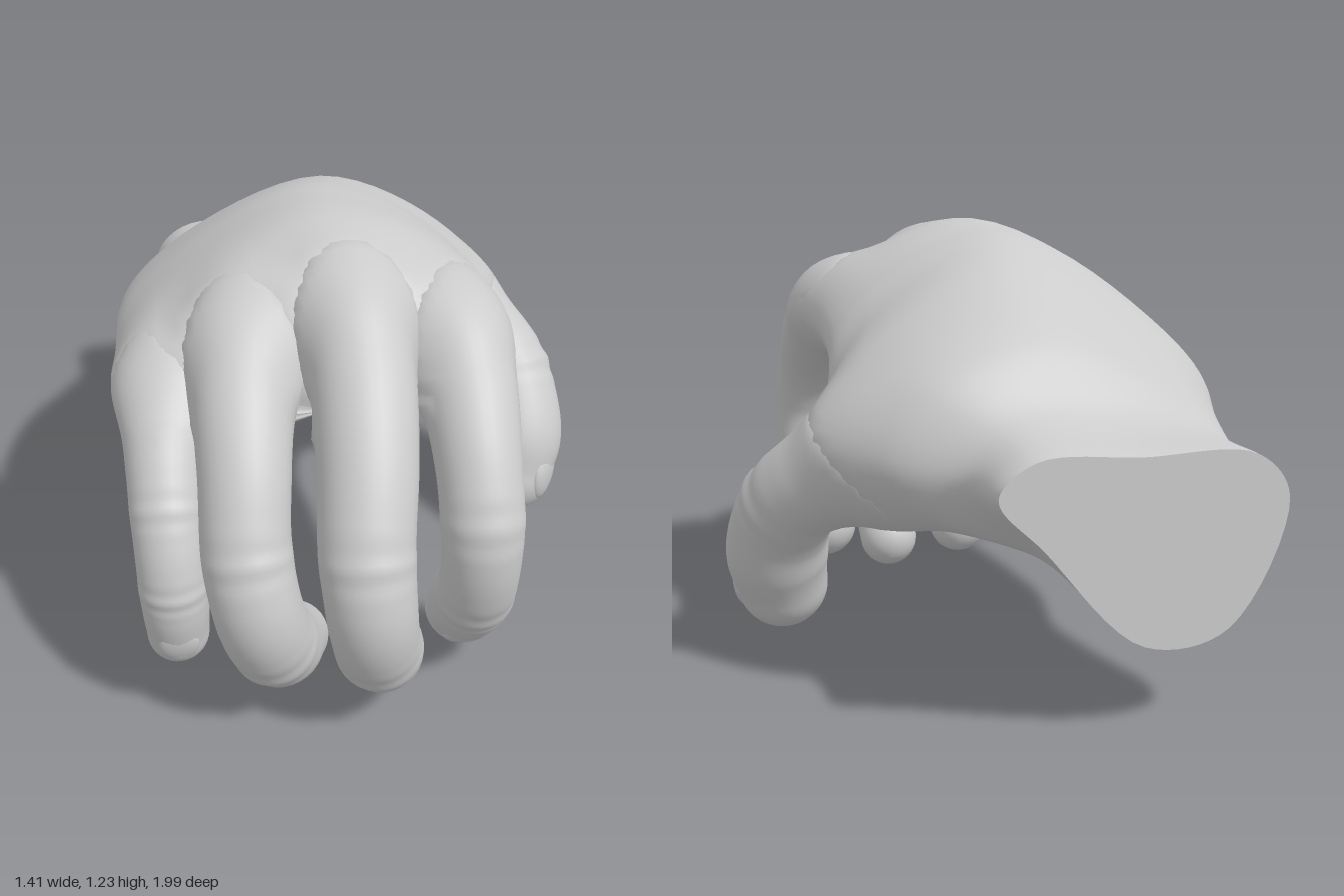
import * as THREE from 'three';

const V = (x, y, z) => new THREE.Vector3(x, y, z);
const material = new THREE.MeshStandardMaterial({ color: 0xcccccc });

// Skin over a list of closed rings (counter-clockwise about the travel direction)
function skin(rings) {
  const n = rings[0].length, index = [];
  for (let i = 0; i < rings.length - 1; i++) {
    for (let j = 0; j < n; j++) {
      const k = (j + 1) % n;
      const a = i * n + j, b = i * n + k, c = (i + 1) * n + k, d = (i + 1) * n + j;
      index.push(a, b, d, b, c, d);
    }
  }
  const g = new THREE.BufferGeometry().setFromPoints(rings.flat());
  g.setIndex(index);
  g.computeVertexNormals();
  return g;
}

// How far each vertex of one skin must swell to flow softly into another skin
function swelling(from, to) {
  const K = 0.1, REACH = 0.13 ** 2;
  const p = from.attributes.position.array, q = to.attributes.position.array, n = to.attributes.normal.array;
  return Float32Array.from({ length: p.length / 3 }, (_, v) => {
    const x = p[v * 3], y = p[v * 3 + 1], z = p[v * 3 + 2];
    let best = REACH, d = K;
    for (let i = 0; i < q.length; i += 3) {
      const dx = x - q[i], dy = y - q[i + 1], dz = z - q[i + 2], s = dx * dx + dy * dy + dz * dz;
      if (s < best) {
        best = s;
        d = Math.abs(dx * n[i] + dy * n[i + 1] + dz * n[i + 2]);
      }
    }
    return Math.max(0, K - d) ** 2 / (4 * K);
  });
}

function swell(geometry, amounts) {
  const p = geometry.attributes.position.array, n = geometry.attributes.normal.array;
  for (let i = 0; i < p.length; i++) p[i] += n[i] * amounts[Math.floor(i / 3)];
  geometry.computeVertexNormals();
}

function named(name, geometry) {
  const mesh = new THREE.Mesh(geometry, material);
  mesh.name = name;
  return mesh;
}

// A finger: rows of x, y, z, radius from root to tip
function makeFinger(name, rows, { joints, nailAngle = Math.PI / 2, nailAt = 0.96 }) {
  const path = new THREE.CatmullRomCurve3(rows.map(r => V(r[0], r[1], r[2])));
  const radii = new THREE.SplineCurve(rows.map((r, i) => new THREE.Vector2(i, r[3])));
  const frame = t => {
    const c = path.getPoint(t), f = path.getTangent(t);
    const side = V(1, 0, 0).addScaledVector(f, -f.x).normalize();
    return { c, f, side, up: f.clone().cross(side), r: radii.getPoint(t).y };
  };
  const N = 32, STEPS = 100, CAP = 10, rings = [];
  const ring = ({ c, side, up }, radiusAt) => Array.from({ length: N }, (_, j) => {
    const a = j / N * Math.PI * 2, r = radiusAt(a);
    return c.clone().addScaledVector(side, Math.cos(a) * r).addScaledVector(up, Math.sin(a) * r);
  });
  for (let i = 0; i <= STEPS; i++) {
    const t = i / STEPS, fr = frame(t);
    // Knuckle swelling and skin creases on the back of each joint
    rings.push(ring(fr, a => {
      let k = 1;
      for (const q of joints) {
        const d = (t - q) / 0.045;
        k += Math.exp(-d * d) * (0.02 + 0.028 * Math.cos(d * 5) * Math.max(0, Math.cos(a - nailAngle)));
      }
      return fr.r * k;
    }));
  }
  // Rounded fingertip
  const end = frame(1);
  for (let i = 1; i <= CAP; i++) {
    const a = i / CAP * Math.PI / 2;
    const c = end.c.clone().addScaledVector(end.f, Math.sin(a) * end.r);
    rings.push(ring({ ...end, c }, () => Math.max(0.0005, Math.cos(a) * end.r)));
  }
  const group = new THREE.Group();
  group.name = name;
  group.add(named(name + 'Skin', skin(rings)));

  // Nail: shallow shell set into the back of the tip
  const { c, f, side, up, r } = frame(nailAt);
  const out = side.multiplyScalar(Math.cos(nailAngle)).addScaledVector(up, Math.sin(nailAngle));
  const nail = named(name + 'Nail', new THREE.SphereGeometry(1, 24, 16));
  nail.quaternion.setFromRotationMatrix(new THREE.Matrix4().makeBasis(out.clone().cross(f), out, f));
  nail.scale.set(r * 0.64, r * 0.25, r * 0.72);
  nail.position.copy(c).addScaledVector(out, r * 0.77).addScaledVector(f, r * 0.05);
  group.add(nail);
  return group;
}

// Palm and wrist: z, xMin, xMax, side heights, three top heights, three bottom heights
const PALM = [
  [-0.99, -0.57, 0.23, 0.60, 0.67, 0.72, 0.74, 0.75, 0.27, 0.25, 0.53],
  [-0.80, -0.555, 0.24, 0.62, 0.66, 0.74, 0.80, 0.79, 0.40, 0.38, 0.50],
  [-0.65, -0.57, 0.40, 0.68, 0.68, 0.84, 0.97, 0.88, 0.47, 0.48, 0.51],
  [-0.40, -0.67, 0.51, 0.74, 0.69, 0.93, 1.13, 0.92, 0.50, 0.58, 0.50],
  [-0.20, -0.695, 0.42, 0.79, 0.76, 0.97, 1.20, 1.01, 0.54, 0.66, 0.61],
  [-0.08, -0.70, 0.38, 0.81, 0.87, 0.985, 1.22, 1.07, 0.59, 0.71, 0.71],
  [0.15, -0.70, 0.36, 0.84, 0.94, 1.0, 1.23, 1.11, 0.67, 0.79, 0.78],
  [0.35, -0.685, 0.35, 0.85, 0.94, 0.97, 1.14, 1.05, 0.71, 0.82, 0.82],
  [0.44, -0.64, 0.31, 0.82, 0.89, 0.89, 1.02, 0.95, 0.74, 0.84, 0.84],
  [0.49, -0.57, 0.25, 0.80, 0.87, 0.83, 0.93, 0.89, 0.77, 0.85, 0.85],
];

function makePalm() {
  const N = 64, STEPS = 80;
  const key = PALM.map(([z, x0, x1, yl, yr, t1, t2, t3, b1, b2, b3]) => {
    const x = k => x0 + (x1 - x0) * k;
    const loop = new THREE.CatmullRomCurve3([
      V(x1, yr, z), V(x(0.88), t3, z), V(x(0.53), t2, z), V(x(0.12), t1, z),
      V(x0, yl, z), V(x(0.2), b1, z), V(x(0.5), b2, z), V(x(0.85), b3, z)], true);
    return Array.from({ length: N }, (_, j) => loop.getPoint(j / N));
  });
  const lines = key[0].map((_, j) => new THREE.CatmullRomCurve3(key.map(r => r[j])));
  const rings = Array.from({ length: STEPS + 1 }, (_, i) => lines.map(l => l.getPoint(i / STEPS)));
  const centre = ring => {
    const c = ring.reduce((s, p) => s.add(p), V(0, 0, 0)).divideScalar(N);
    return ring.map(() => c.clone());
  };
  const cut = skin([centre(rings[0]), rings[0]]);
  rings.push(centre(rings[STEPS]));
  const group = new THREE.Group();
  group.name = 'palm';
  group.add(named('palmSkin', skin(rings)), named('wristEnd', cut));
  return group;
}

export function createModel() {
  const hand = new THREE.Group();
  hand.name = 'hand';
  const palm = makePalm();
  const index = makeFinger('indexFinger', [
    [0.15, 0.93, -0.05, 0.08], [0.215, 0.965, 0.32, 0.145], [0.23, 0.88, 0.49, 0.133],
    [0.23, 0.74, 0.65, 0.116], [0.23, 0.58, 0.735, 0.11], [0.23, 0.42, 0.725, 0.107],
    [0.228, 0.28, 0.645, 0.113], [0.225, 0.175, 0.56, 0.103],
  ], { joints: [0.55, 0.79] });
  const middle = makeFinger('middleFinger', [
    [-0.1, 1.03, -0.05, 0.08], [-0.065, 1.05, 0.33, 0.15], [-0.06, 0.955, 0.53, 0.14],
    [-0.075, 0.79, 0.71, 0.132], [-0.095, 0.62, 0.83, 0.124], [-0.09, 0.48, 0.875, 0.12],
    [-0.075, 0.36, 0.855, 0.117], [-0.045, 0.235, 0.77, 0.116], [-0.008, 0.1, 0.58, 0.097],
  ], { joints: [0.52, 0.82] });
  const ring = makeFinger('ringFinger', [
    [-0.28, 0.98, -0.05, 0.08], [-0.34, 0.98, 0.31, 0.145], [-0.37, 0.9, 0.49, 0.135],
    [-0.385, 0.76, 0.65, 0.122], [-0.395, 0.6, 0.75, 0.117], [-0.38, 0.46, 0.795, 0.118],
    [-0.355, 0.35, 0.78, 0.119], [-0.315, 0.235, 0.71, 0.116], [-0.26, 0.13, 0.56, 0.098],
  ], { joints: [0.52, 0.82] });
  const little = makeFinger('littleFinger', [
    [-0.47, 0.85, -0.05, 0.08], [-0.56, 0.85, 0.3, 0.125], [-0.58, 0.78, 0.46, 0.112],
    [-0.59, 0.66, 0.59, 0.097], [-0.59, 0.52, 0.665, 0.092], [-0.587, 0.39, 0.68, 0.09],
    [-0.585, 0.28, 0.665, 0.084],
  ], { joints: [0.53, 0.76] });
  const thumb = makeFinger('thumb', [
    [0.08, 0.66, -0.68, 0.08], [0.18, 0.67, -0.56, 0.14], [0.29, 0.65, -0.45, 0.175],
    [0.41, 0.61, -0.35, 0.16], [0.52, 0.52, -0.24, 0.138], [0.55, 0.41, -0.15, 0.141],
    [0.548, 0.31, -0.095, 0.147], [0.525, 0.205, -0.055, 0.132],
  ], { joints: [0.62], nailAngle: 0.5 });
  const fingers = [index, middle, ring, little, thumb];

  // Soften the joins between the palm and the finger roots
  const palmSkin = palm.children[0].geometry;
  const skins = fingers.map(f => f.children[0].geometry);
  const toPalm = skins.map(s => swelling(s, palmSkin));
  const toFingers = skins.map(s => swelling(palmSkin, s));
  skins.forEach((s, i) => swell(s, toPalm[i]));
  swell(palmSkin, toFingers[0].map((_, v) => Math.max(...toFingers.map(a => a[v]))));

  hand.add(palm, ...fingers);
  return hand;
}
